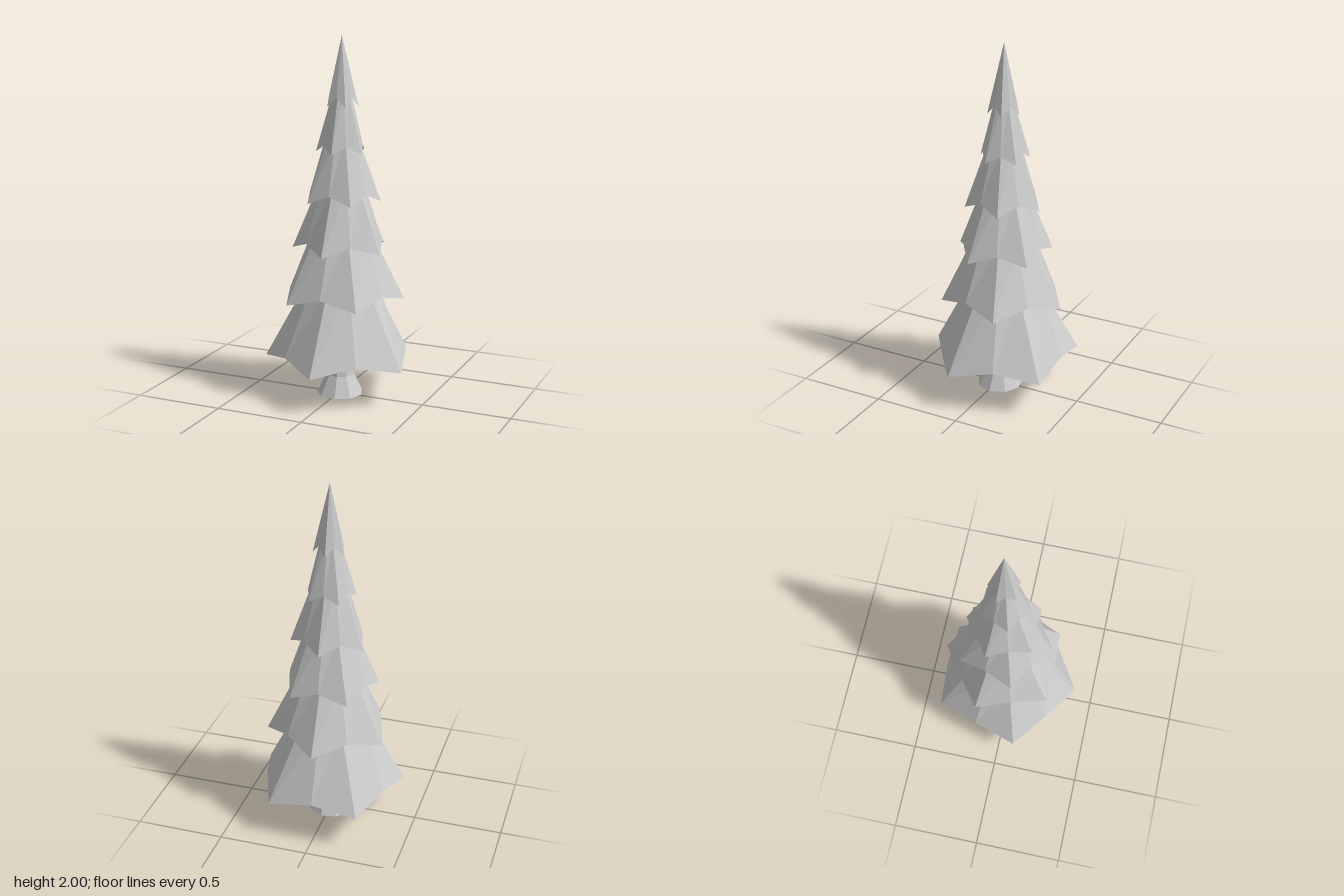
import * as THREE from 'three';

// Joins horizontal rings of points (listed from the underside outward and then up) into a faceted skin.
function loft(rings) {
  const n = rings[0].length;
  const pos = [];
  const tri = (...pts) => pts.forEach((p) => pos.push(p.x, p.y, p.z));
  for (let r = 0; r < rings.length - 1; r++) {
    const lo = rings[r];
    const hi = rings[r + 1];
    for (let i = 0; i < n; i++) {
      const j = (i + 1) % n;
      if (lo[i].distanceTo(lo[j]) > 1e-6) tri(lo[i], lo[j], hi[j]);
      if (hi[i].distanceTo(hi[j]) > 1e-6) tri(lo[i], hi[j], hi[i]);
    }
  }
  const geo = new THREE.BufferGeometry();
  geo.setAttribute('position', new THREE.Float32BufferAttribute(pos, 3));
  geo.computeVertexNormals();
  return geo;
}

// Ring around the vertical axis; angle 0 faces +z. Radius and height may vary by corner.
function ring(n, start, cz, radius, height) {
  return Array.from({ length: n }, (_, i) => {
    const a = start + (i / n) * Math.PI * 2;
    const r = radius(i);
    return new THREE.Vector3(Math.sin(a) * r, height(i), cz + Math.cos(a) * r);
  });
}

export function createModel() {
  const group = new THREE.Group();
  group.name = 'pineTree';
  const material = new THREE.MeshStandardMaterial({ color: 0xcccccc, flatShading: true });
  const add = (name, rings) => {
    const mesh = new THREE.Mesh(loft(rings), material);
    mesh.name = name;
    group.add(mesh);
  };

  // Trunk: nine sides, flared foot, leaning slightly back
  const trunk = [
    [0, 0, -0.012], [0.13, 0, -0.012], [0.077, 0.11, -0.015],
    [0.064, 0.23, -0.02], [0.055, 0.4, -0.03], [0, 0.4, -0.03],
  ];
  add('trunk', trunk.map(([r, y, z]) => ring(9, Math.PI / 2, z, () => r, () => y)));

  // Branch tiers: five drooping tips with raised notches between, each turned against the one below
  // [tip radius, tip height, notch radius, notch height, ceiling height, top radius, top height]
  const tiers = [
    [0.43, 0.2, 0.36, 0.25, 0.33, 0.19, 0.64],
    [0.35, 0.55, 0.29, 0.6, 0.65, 0.165, 0.92],
    [0.275, 0.83, 0.223, 0.88, 0.93, 0.125, 1.19],
    [0.215, 1.1, 0.175, 1.15, 1.2, 0.088, 1.45],
    [0.142, 1.37, 0.115, 1.41, 1.46, 0.05, 1.69],
    [0.09, 1.62, 0.07, 1.67, 1.7, 0, 2],
  ];
  const axisZ = -0.035;
  tiers.forEach(([tipR, tipY, notchR, notchY, ceilY, topR, topY], k) => {
    const start = k % 2 ? Math.PI / 5 : 0;
    const level = (r, y) => ring(10, start, axisZ, () => r, () => y);
    add(`branchTier${k + 1}`, [
      level(0, ceilY),
      level(tipR * 0.6, ceilY),
      ring(10, start, axisZ, (i) => (i % 2 ? notchR : tipR), (i) => (i % 2 ? notchY : tipY)),
      level(topR, topY),
    ]);
  });
  return group;
}
